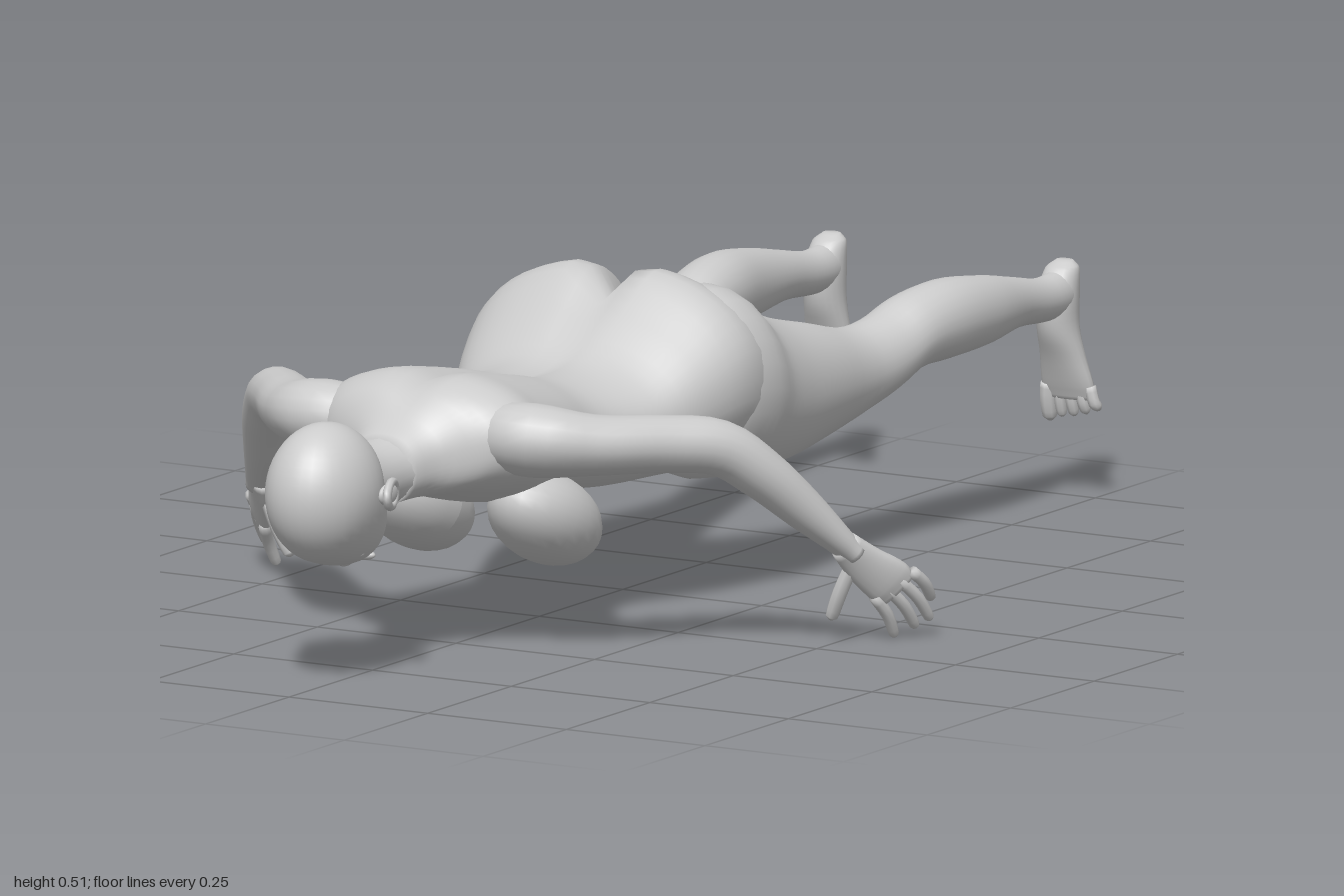
import * as THREE from 'three';

const V = (x, y, z) => new THREE.Vector3(x, y, z);
const material = new THREE.MeshStandardMaterial({ color: 0xcccccc });

// Smooth closed loft. Each row is [x, y, z, halfWidth, halfDepth, groove].
// side is the width direction; dir fixes the section plane, otherwise it follows the path.
function loft(rows, side, { dir, n = 20, steps = 4, power = 1 } = {}) {
  const path = new THREE.CatmullRomCurve3(rows.map(r => V(r[0], r[1], r[2])));
  const size = new THREE.CatmullRomCurve3(rows.map(r => V(r[3], r[4], r[5] || 0)), false, 'catmullrom', 0.5);
  const count = (rows.length - 1) * steps, pos = [], idx = [];
  const soft = v => Math.sign(v) * Math.abs(v) ** power;
  for (let i = 0; i <= count; i++) {
    const c = path.getPoint(i / count), s = size.getPoint(i / count);
    const T = dir || path.getTangent(i / count);
    const a = side.clone().addScaledVector(T, -side.dot(T)).normalize();
    const b = T.clone().cross(a);
    for (let j = 0; j < n; j++) {
      const t = j / n * Math.PI * 2;
      const p = c.clone().addScaledVector(a, s.x * soft(Math.cos(t))).addScaledVector(b, s.y * soft(Math.sin(t)));
      if (s.z > 0 && p.y > c.y) p.y -= s.z * Math.exp(-((p.x / 0.028) ** 2));
      pos.push(p.x, p.y, p.z);
      if (i < count) {
        const k = i * n + j, l = i * n + (j + 1) % n;
        idx.push(k, l, k + n, l, l + n, k + n);
      }
    }
  }
  // end caps
  const first = rows[0], last = rows[rows.length - 1], m = pos.length / 3;
  pos.push(...first.slice(0, 3), ...last.slice(0, 3));
  for (let j = 0; j < n; j++) {
    const k = (j + 1) % n;
    idx.push(m, k, j, m + 1, count * n + j, count * n + k);
  }
  const g = new THREE.BufferGeometry();
  g.setAttribute('position', new THREE.Float32BufferAttribute(pos, 3));
  g.setIndex(idx);
  g.computeVertexNormals();
  return g;
}

// Ellipsoid, tilted about x
function blob(x, y, z, rx, ry, rz, tilt = 0) {
  return new THREE.SphereGeometry(1, 24, 16).scale(rx, ry, rz).rotateX(tilt).translate(x, y, z);
}

// Tapered digit with a rounded tip
function digit(from, mid, to, r, side) {
  const tip = to.clone().addScaledVector(to.clone().sub(mid).normalize(), r * 0.6);
  return loft([[...from, r, r], [...mid, r, r], [...to, r * 0.85, r * 0.85], [...tip, r * 0.3, r * 0.3]],
    side, { n: 8, steps: 3 });
}

function mirrored(g) {
  const m = g.clone().scale(-1, 1, 1), a = m.index.array;
  for (let i = 0; i < a.length; i += 3) [a[i], a[i + 1]] = [a[i + 1], a[i]];
  m.computeVertexNormals();
  return m;
}

export function createModel() {
  const model = new THREE.Group();
  model.name = 'proneFigure';
  const add = (name, g) => {
    const mesh = new THREE.Mesh(g, material);
    mesh.name = name;
    model.add(mesh);
  };
  const pair = (name, g) => {
    add('left' + name, g);
    add('right' + name, mirrored(g));
  };
  const X = V(1, 0, 0), back = V(0, 0, -1), down = V(0, -1, 0);

  // Torso: [z, half width, top, bottom, groove]
  const torso = [
    [0.73, 0.055, 0.365, 0.262, 0], [0.68, 0.085, 0.395, 0.265, 0], [0.64, 0.155, 0.432, 0.265, 0.008],
    [0.58, 0.195, 0.45, 0.25, 0.016], [0.5, 0.18, 0.44, 0.23, 0.014], [0.4, 0.163, 0.42, 0.222, 0.012],
    [0.3, 0.152, 0.4, 0.215, 0.012], [0.2, 0.188, 0.408, 0.203, 0.01], [0.12, 0.225, 0.465, 0.2, 0.015],
    [0.03, 0.25, 0.525, 0.195, 0.055], [-0.05, 0.24, 0.498, 0.195, 0.1], [-0.1, 0.19, 0.44, 0.21, 0.12],
    [-0.125, 0.09, 0.36, 0.24, 0.04],
  ].map(([z, w, t, b, g]) => [0, (t + b) / 2, z, w, (t - b) / 2, g]);
  add('torso', loft(torso, X, { dir: back, n: 48, power: 0.9 }));
  pair('Breast', blob(0.115, 0.203, 0.425, 0.08, 0.07, 0.12, -0.45));

  // Neck and head, with the chin drawn out of a sphere
  add('neck', loft([[0, 0.32, 0.86, 0.055, 0.055], [0, 0.31, 0.78, 0.054, 0.052],
    [0, 0.315, 0.72, 0.06, 0.053], [0, 0.33, 0.65, 0.09, 0.06]], X, { dir: back }));
  const head = new THREE.SphereGeometry(1, 32, 24), p = head.attributes.position;
  for (let i = 0; i < p.count; i++) {
    const x = p.getX(i), y = p.getY(i), z = p.getZ(i);
    const jaw = Math.max(0, -y) * Math.max(0, 0.3 - z);
    p.setXYZ(i, x * 0.087 * (1 - 0.15 * jaw), 0.31 + y * 0.11 - 0.03 * jaw, 0.893 + z * 0.107 - 0.075 * jaw);
  }
  head.computeVertexNormals();
  add('head', head);
  add('nose', blob(0, 0.199, 0.825, 0.014, 0.014, 0.026, 0.3));
  add('lips', blob(0, 0.194, 0.782, 0.024, 0.009, 0.01));
  pair('Eye', blob(0.033, 0.213, 0.856, 0.016, 0.009, 0.01));
  const ear = new THREE.TorusGeometry(0.02, 0.007, 8, 18).scale(1.6, 0.95, 1).rotateY(Math.PI / 2 + 0.35);
  pair('EarRim', ear.translate(0.091, 0.308, 0.845));
  pair('EarBowl', blob(0.087, 0.308, 0.848, 0.008, 0.017, 0.026));

  // Legs: [z, centre x, half width, top, bottom]
  const leg = [
    [0.08, 0.12, 0.07, 0.41, 0.25], [0.03, 0.125, 0.115, 0.49, 0.2], [-0.05, 0.13, 0.126, 0.492, 0.188],
    [-0.12, 0.126, 0.118, 0.447, 0.182], [-0.2, 0.135, 0.1, 0.415, 0.185], [-0.3, 0.147, 0.08, 0.39, 0.202],
    [-0.4, 0.16, 0.063, 0.367, 0.225], [-0.47, 0.176, 0.06, 0.375, 0.25], [-0.53, 0.19, 0.06, 0.398, 0.28],
    [-0.62, 0.202, 0.058, 0.41, 0.285], [-0.72, 0.211, 0.047, 0.4, 0.29], [-0.82, 0.21, 0.035, 0.38, 0.3],
    [-0.9, 0.21, 0.031, 0.365, 0.295], [-0.96, 0.21, 0.03, 0.368, 0.295], [-0.985, 0.21, 0.018, 0.355, 0.31],
  ].map(([z, x, w, t, b]) => [x, (t + b) / 2, z, w, (t - b) / 2]);
  pair('Leg', loft(leg, X, { dir: back, n: 24 }));

  // Feet hang with the soles facing back
  pair('Foot', loft([
    [0.21, 0.382, -0.975, 0.014, 0.01], [0.21, 0.37, -0.968, 0.027, 0.026], [0.21, 0.33, -0.955, 0.031, 0.04],
    [0.21, 0.28, -0.955, 0.032, 0.037], [0.212, 0.23, -0.967, 0.039, 0.026],
    [0.214, 0.185, -0.978, 0.046, 0.018], [0.214, 0.163, -0.983, 0.042, 0.013],
  ], X, { dir: down }));
  for (let i = 0; i < 5; i++) {
    const x = 0.18 + i * 0.0185, tip = 0.132 + 0.002 * i * i * 0.5 + (i ? 0.004 : 0), r = i ? 0.0095 : 0.014;
    pair('Toe' + (i + 1), digit(V(x, 0.185, -0.978), V(x + 0.002 * (i - 1), 0.16, -0.98),
      V(x + 0.003 * (i - 1), tip, -0.986), r, X));
  }

  // Arms reach out, down and back
  pair('Arm', loft([
    [0.11, 0.36, 0.585, 0.05, 0.05], [0.19, 0.358, 0.58, 0.072, 0.058], [0.265, 0.35, 0.53, 0.06, 0.048],
    [0.34, 0.345, 0.445, 0.051, 0.045], [0.4, 0.333, 0.375, 0.047, 0.044], [0.443, 0.287, 0.32, 0.044, 0.04],
    [0.485, 0.225, 0.262, 0.036, 0.033], [0.523, 0.168, 0.212, 0.026, 0.022], [0.535, 0.148, 0.195, 0.024, 0.018],
  ], V(0.75, 0.2, 0.6), { n: 20 }));

  // Hands
  const across = V(0.05, 0.035, -0.04);
  pair('Palm', loft([
    [0.525, 0.165, 0.21, 0.024, 0.02], [0.545, 0.13, 0.178, 0.033, 0.016],
    [0.567, 0.1, 0.145, 0.039, 0.014], [0.576, 0.085, 0.132, 0.033, 0.009],
  ], across, { n: 16 }));
  const tips = [V(0.601, 0.068, 0.076), V(0.598, 0.036, 0.076), V(0.579, 0.024, 0.088), V(0.557, 0.012, 0.113)];
  tips.forEach((tip, i) => {
    const root = V(0.596, 0.116, 0.124).lerp(V(0.55, 0.077, 0.16), i / 3);
    const mid = root.clone().lerp(tip, 0.55).add(V(0.004, 0.004, 0));
    pair('Finger' + (i + 1), digit(root, mid, tip, 0.0095, across));
  });
  pair('Thumb', digit(V(0.53, 0.135, 0.19), V(0.507, 0.085, 0.192), V(0.489, 0.046, 0.186), 0.012, across));

  return model;
}
